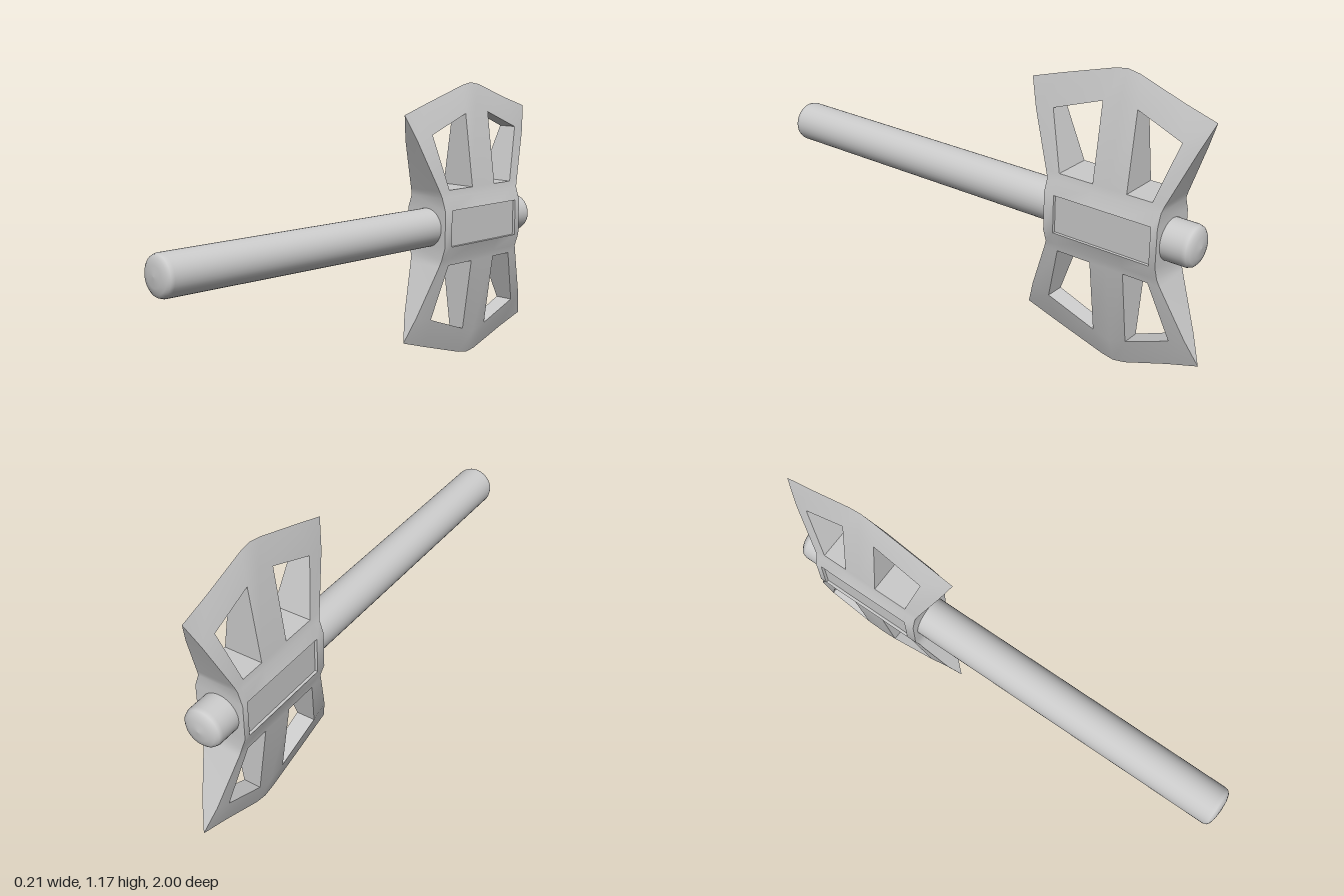
import * as THREE from 'three';
import { toCreasedNormals } from 'three/addons/utils/BufferGeometryUtils.js';

const MID = 0.5875; // height of the handle axis
const material = new THREE.MeshStandardMaterial({ color: 0xcccccc });

// Upper half of the head, row by row: z, height above the axis and half thickness at seven columns
const mirror = (a, b, c, d) => [a, b, c, d, c, b, a];
const upperRows = [
  { z: [-0.37, -0.413, -0.566, -0.638, -0.71, -0.828, -0.855], y: Array(7).fill(0.076), h: Array(7).fill(0.103) },
  { z: [-0.37, -0.415, -0.566, -0.638, -0.71, -0.822, -0.855], y: Array(7).fill(0.13), h: Array(7).fill(0.085) },
  { z: [-0.36, -0.42, -0.566, -0.638, -0.71, -0.815, -0.865], y: Array(7).fill(0.158), h: Array(7).fill(0.08) },
  { z: [-0.275, -0.357, -0.566, -0.638, -0.71, -0.893, -0.953], y: mirror(0.365, 0.387, 0.462, 0.488), h: mirror(0.034, 0.04, 0.037, 0.032) },
  { z: [-0.233, -0.365, -0.585, -0.638, -0.69, -0.87, -0.999], y: mirror(0.472, 0.513, 0.578, 0.5875), h: Array(7).fill(0) },
];
const rows = [
  ...upperRows.map((r) => ({ ...r, y: r.y.map((v) => -v) })).reverse(),
  ...upperRows,
];

function buildHead() {
  const pos = [];
  const quad = (a, b, c, d) => pos.push(...a, ...b, ...c, ...a, ...c, ...d);
  const face = (s, a, b, c, d) => (s > 0 ? quad(a, b, c, d) : quad(d, c, b, a));
  const P = (r, c, s) => [s * rows[r].h[c], MID + rows[r].y[c], rows[r].z[c]];
  // Wall through the thickness, facing left of the direction p to q
  const wall = (p, q) => quad(P(...p, 1), P(...q, 1), P(...q, -1), P(...p, -1));

  for (let r = 0; r < rows.length - 1; r++) {
    for (let c = 0; c < 6; c++) {
      const loop = [[r, c], [r, c + 1], [r + 1, c + 1], [r + 1, c]];
      const window = (r === 1 || r === 7) && (c === 1 || c === 4);
      const panel = r === 4 && c > 0 && c < 5;
      if (window) loop.forEach((p, i) => wall(p, loop[(i + 1) % 4]));
      else if (!panel) for (const s of [1, -1]) face(s, ...loop.map((p) => P(...p, s)));
    }
    // Front and rear edges of the blades
    wall([r, 0], [r + 1, 0]);
    wall([r + 1, 6], [r, 6]);
  }

  // Recessed cheek panels
  for (const s of [1, -1]) {
    const rim = [P(4, 1, s), P(4, 5, s), P(5, 5, s), P(5, 1, s)];
    const floor = rim.map(([x, y, z]) => [x - s * 0.012, y, z]);
    rim.forEach((p, i) => {
      const j = (i + 1) % 4;
      face(s, p, rim[j], floor[j], floor[i]);
    });
    face(s, ...floor);
  }

  const geometry = new THREE.BufferGeometry();
  geometry.setAttribute('position', new THREE.Float32BufferAttribute(pos, 3));
  return toCreasedNormals(geometry, 0.5);
}

function buildHandle() {
  // Round bar with softly domed ends
  const profile = [
    [0, -0.977], [0.04, -0.972], [0.064, -0.965], [0.076, -0.955], [0.081, -0.94],
    [0.081, 0.967], [0.076, 0.982], [0.064, 0.991], [0.04, 0.997], [0, 1],
  ].map(([x, y]) => new THREE.Vector2(x, y));
  return new THREE.LatheGeometry(profile, 40).rotateX(Math.PI / 2).translate(0, MID, 0);
}

export function createModel() {
  const model = new THREE.Group();
  model.name = 'doubleAxe';
  for (const [name, geometry] of [['handle', buildHandle()], ['axeHead', buildHead()]]) {
    const mesh = new THREE.Mesh(geometry, material);
    mesh.name = name;
    model.add(mesh);
  }
  return model;
}
